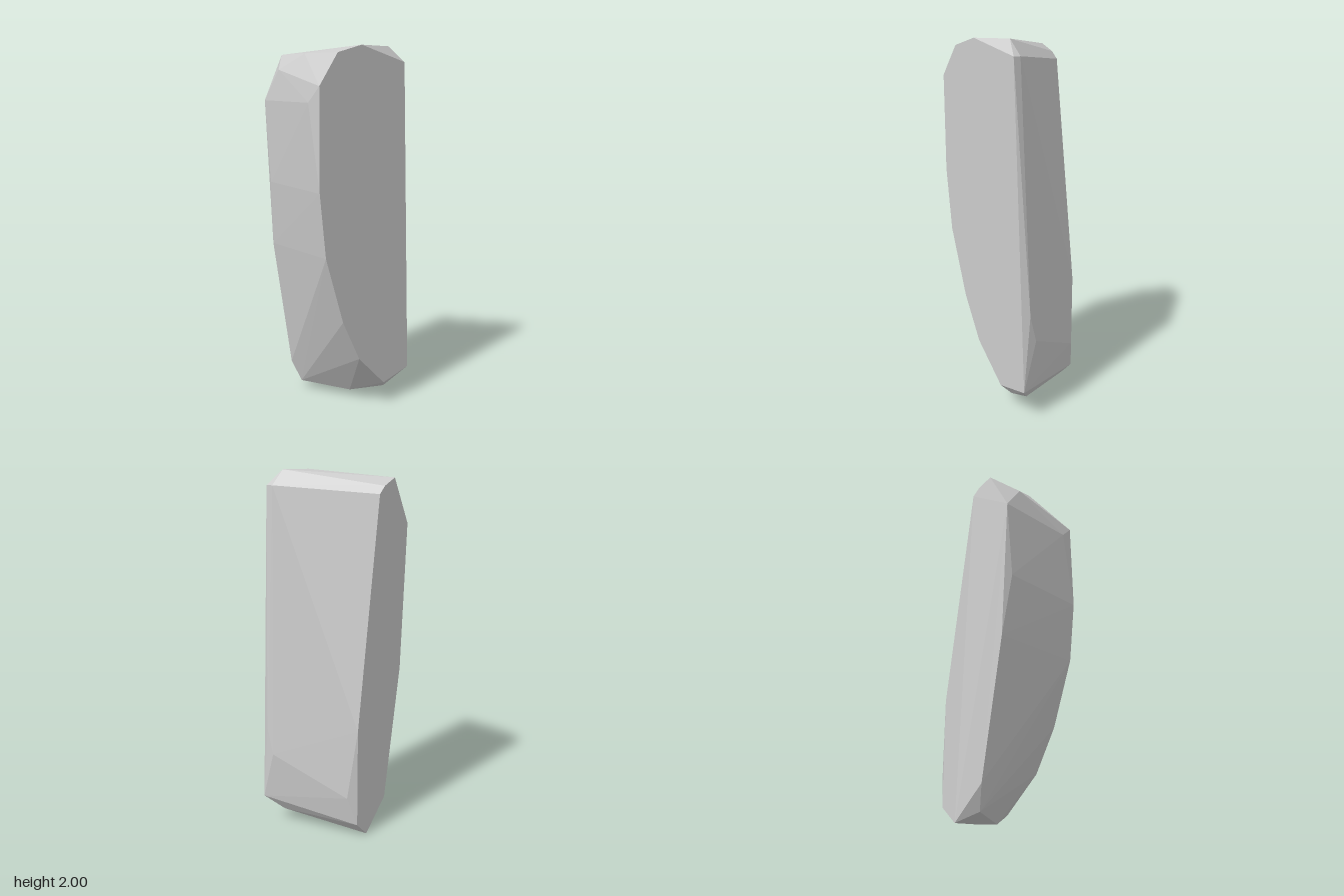
import * as THREE from 'three';
import { ConvexGeometry } from 'three/addons/geometries/ConvexGeometry.js';

// Faceted convex block: a broad flat front, a narrower flat back,
// and a few bevel corners between them.
const HALF_DEPTH = 0.265;

// Front outline [x, y]
const FRONT = [
  [-0.06, 2.0], [-0.225, 1.96], [-0.347, 1.8], [-0.347, 1.28], [-0.306, 0.94],
  [-0.184, 0.57], [-0.06, 0.33], [0.14, 0.13], [0.345, 0.17], [0.264, 1.92],
];

// Back outline [x, y]
const BACK = [
  [-0.143, 1.96], [-0.265, 1.72], [-0.225, 0.92], [-0.102, 0.17],
  [0.06, 0], [0.142, 0.085], [0.142, 0.64], [-0.02, 1.88], [-0.06, 1.92],
];

// Bevel corners [x, y, z]
const CORNERS = [
  // top
  [0.183, 2.0, 0.223], [0.264, 1.92, 0.223], [-0.225, 1.96, 0.02], [-0.265, 1.88, -0.143],
  // sides
  [-0.347, 1.72, 0.183], [-0.265, 1.28, -0.225],
  [0.345, 0.6, 0.223], [0.345, 0.45, 0.183], [0.183, 0.25, -0.225],
  // underside
  [0.183, 0.085, 0.223], [0.264, 0.085, 0.183], [0.06, 0.045, 0.07], [-0.06, 0.045, -0.223],
];

export function createModel() {
  const group = new THREE.Group();
  group.name = 'facetedBlock';

  const points = [
    ...FRONT.map(([x, y]) => new THREE.Vector3(x, y, HALF_DEPTH)),
    ...BACK.map(([x, y]) => new THREE.Vector3(x, y, -HALF_DEPTH)),
    ...CORNERS.map((p) => new THREE.Vector3(...p)),
  ];

  const body = new THREE.Mesh(
    new ConvexGeometry(points),
    new THREE.MeshStandardMaterial({ color: 0xcccccc, flatShading: true })
  );
  body.name = 'body';
  group.add(body);
  return group;
}
